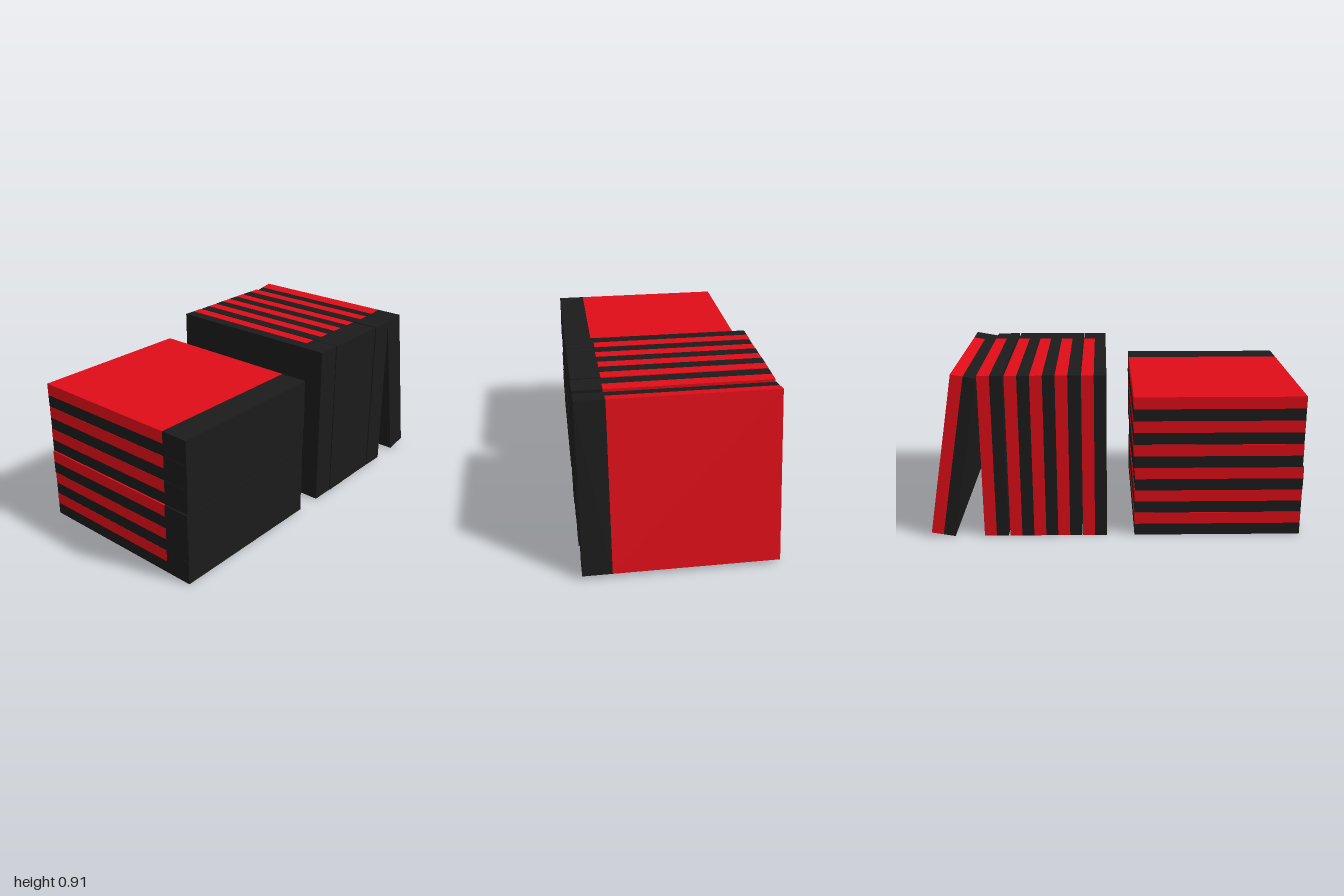
import * as THREE from 'three';

const W = 1.004, T = 0.13, D = 0.9;   // case width, thickness, depth
const SPINE = 0.151;                  // width of the full-thickness spine

const black = new THREE.MeshStandardMaterial({ color: 0x1b1b1b });
const red = new THREE.MeshStandardMaterial({ color: 0xe00d18 });

// L-shaped shell: lower half plus spine, extruded along the depth
function shellGeometry() {
  const l = -W / 2, r = W / 2, s = r - SPINE, h = T / 2;
  const shape = new THREE.Shape([
    [l, -h], [r, -h], [r, h], [s, h], [s, 0], [l, 0],
  ].map(([x, y]) => new THREE.Vector2(x, y)));
  return new THREE.ExtrudeGeometry(shape, { depth: D, bevelEnabled: false }).translate(0, 0, -D / 2);
}

const shellGeo = shellGeometry();
const coverGeo = new THREE.BoxGeometry(W - SPINE, T / 2, D).translate(-SPINE / 2, T / 4, 0);

// One case lying flat: black shell with a red cover filling the step
function makeCase(name, x, y, z, tilt = 0) {
  const box = new THREE.Group();
  box.name = name;
  const shell = new THREE.Mesh(shellGeo, black);
  shell.name = 'shellAndSpine';
  const cover = new THREE.Mesh(coverGeo, red);
  cover.name = 'cover';
  box.add(shell, cover);
  box.position.set(x, y, z);
  box.rotation.x = tilt;
  return box;
}

export function createModel() {
  const model = new THREE.Group();
  model.name = 'caseCollection';

  // Flat stack at the front, each case slightly shifted: [x, z]
  const stack = new THREE.Group();
  stack.name = 'flatStack';
  [[0, 0.55], [0.002, 0.55], [0, 0.551], [-0.003, 0.543], [-0.001, 0.542], [-0.003, 0.541]]
    .forEach(([x, z], i) => stack.add(makeCase(`flatCase${i + 1}`, x, T / 2 + i * 0.1306, z)));

  // Upright row behind the stack, covers facing back: [x, z]
  const row = new THREE.Group();
  row.name = 'uprightRow';
  [[0, -0.115], [0.002, -0.25], [0, -0.38], [-0.001, -0.51], [0, -0.649]]
    .forEach(([x, z], i) => row.add(makeCase(`uprightCase${i + 1}`, x, D / 2, z, -Math.PI / 2)));

  // Last case leaning against the row
  const lean = THREE.MathUtils.degToRad(9.9);
  const leaning = makeCase('leaningCase', -0.003, 0.455, -0.859, -Math.PI / 2 + lean);

  model.add(stack, row, leaning);
  return model;
}
